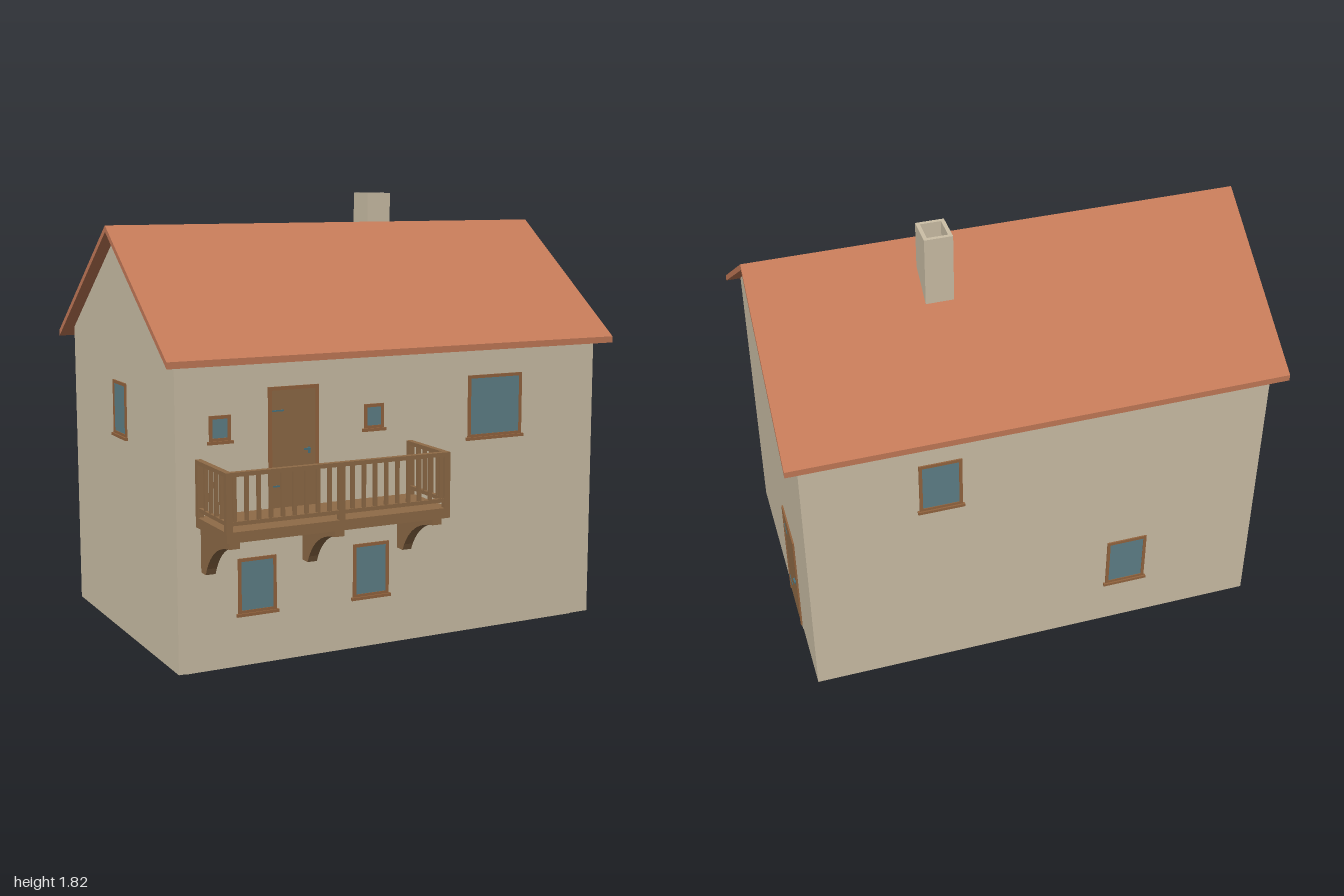
import * as THREE from 'three';

const mat = (name, color) => {
  const m = new THREE.MeshStandardMaterial({ color });
  m.name = name;
  return m;
};

export function createModel() {
  const plaster = mat('plaster', 0xcdc0a7);
  const tile = mat('roofTile', 0xc47a58);
  const wood = mat('wood', 0x8f6b47);
  const trim = mat('trimWood', 0x94653f);
  const glass = mat('glass', 0x5f8189);
  const metal = mat('metal', 0x4a7480);

  const house = new THREE.Group();
  house.name = 'house';

  const add = (parent, name, geometry, material) => {
    const mesh = new THREE.Mesh(geometry, material);
    mesh.name = name;
    parent.add(mesh);
    return mesh;
  };
  const group = (name, parent = house) => {
    const g = new THREE.Group();
    g.name = name;
    parent.add(g);
    return g;
  };
  // Box given by its extents on each axis
  const box = (parent, name, material, x0, x1, y0, y1, z0, z1) => {
    const mesh = add(parent, name, new THREE.BoxGeometry(x1 - x0, y1 - y0, z1 - z0), material);
    mesh.position.set((x0 + x1) / 2, (y0 + y1) / 2, (z0 + z1) / 2);
    return mesh;
  };
  const polygon = (points) => new THREE.Shape(points.map(([a, b]) => new THREE.Vector2(a, b)));
  // Side profile drawn as (z, y), extruded along x from x0 to x1
  const sideExtrude = (parent, name, material, shape, x0, x1) => {
    const geo = new THREE.ExtrudeGeometry(shape, { depth: x1 - x0, bevelEnabled: false, curveSegments: 10 });
    geo.rotateY(-Math.PI / 2).scale(1, 1, 1); // (z, y, d) -> (-d, y, z)
    geo.translate(x1, 0, 0);
    return add(parent, name, geo, material);
  };
  // Rectangular ring, w by h with bars of width t, extruded by depth
  const ring = (w, h, tx, ty, depth) => {
    const rect = (a, b) => [[-a, -b], [a, -b], [a, b], [-a, b]];
    const shape = polygon(rect(w / 2, h / 2));
    shape.holes.push(polygon(rect(w / 2 - tx, h / 2 - ty).reverse()));
    return new THREE.ExtrudeGeometry(shape, { depth, bevelEnabled: false });
  };

  // Main dimensions
  const X0 = -0.95, X1 = 0.945, ZF = 0.49, ZB = -0.73;
  const ridgeZ = -0.12, ridgeY = 1.7, slope = 0.709, roofT = 0.026;
  const roofY = (z) => ridgeY - slope * Math.abs(z - ridgeZ);

  // Walls with gables, standing on a recessed plinth
  sideExtrude(house, 'walls', plaster, polygon([
    [ZB, 0.02], [ZF, 0.02], [ZF, roofY(ZF) - roofT],
    [ridgeZ, ridgeY - roofT], [ZB, roofY(ZB) - roofT],
  ]), X0, X1);
  box(house, 'plinth', plaster, -0.9, 0.895, 0, 0.02, -0.68, 0.44);
  box(house, 'doorStep', plaster, 0.895, 0.945, 0, 0.02, -0.4, -0.155);

  // Pitched roof
  const zf = 0.55, zb = -0.79;
  sideExtrude(house, 'roof', tile, polygon([
    [zb, roofY(zb) - roofT], [ridgeZ, ridgeY - roofT], [zf, roofY(zf) - roofT],
    [zf, roofY(zf)], [ridgeZ, ridgeY], [zb, roofY(zb)],
  ]), -1, 1);

  // Hollow chimney
  const flue = ring(0.112, 0.13, 0.015, 0.015, 0.322);
  flue.rotateX(-Math.PI / 2);
  add(house, 'chimney', flue, plaster).position.set(0.29, 1.5, -0.283);

  // Place an opening on a wall; u is the coordinate along that wall
  const walls = {
    front: (g, u, y) => { g.position.set(u, y, ZF); },
    back: (g, u, y) => { g.position.set(u, y, ZB); g.rotation.y = Math.PI; },
    left: (g, u, y) => { g.position.set(X1, y, u); g.rotation.y = Math.PI / 2; },
    right: (g, u, y) => { g.position.set(X0, y, u); g.rotation.y = -Math.PI / 2; },
  };

  // Windows: frame, pane and sill; y is the bottom of the frame
  const windowUnit = (wall, u, y, w, h) => {
    const g = group('window');
    walls[wall](g, u, y);
    add(g, 'windowFrame', ring(w, h, 0.013, 0.013, 0.006), trim).position.y = h / 2;
    box(g, 'windowPane', glass, -w / 2 + 0.012, w / 2 - 0.012, 0.012, h - 0.012, 0, 0.003);
    box(g, 'windowSill', trim, -w / 2 - 0.008, w / 2 + 0.008, -0.01, 0.002, 0, 0.012);
  };
  windowUnit('front', 0.452, 0.833, 0.26, 0.258);
  for (const x of [-0.771, -0.114]) windowUnit('front', x, 0.907, 0.088, 0.099);
  for (const x of [-0.623, -0.126]) windowUnit('front', x, 0.226, 0.161, 0.219);
  windowUnit('back', 0.404, 0.85, 0.172, 0.227);
  windowUnit('back', -0.388, 0.231, 0.172, 0.23);
  windowUnit('right', -0.126, 0.85, 0.155, 0.222);

  // Doors: frame, leaf, hinges and handle
  const door = (name, wall, u, y, w, h, strap, handleX, handleY) => {
    const g = group(name);
    walls[wall](g, u, y);
    const t = 0.014, e = w / 2;
    box(g, 'doorJamb', trim, -e, -e + t, 0, h, 0, 0.007);
    box(g, 'doorJamb', trim, e - t, e, 0, h, 0, 0.007);
    box(g, 'doorLintel', trim, -e + t, e - t, h - t, h, 0, 0.007);
    box(g, 'doorLeaf', wood, -e + t, e - t, 0, h - t, 0, 0.004);
    for (const hy of [0.085, h - 0.093])
      box(g, 'doorHinge', metal, -e + t, -e + t + strap, hy - 0.003, hy + 0.003, 0.003, 0.006);
    box(g, 'handlePlate', metal, handleX, handleX + 0.009, handleY - 0.018, handleY + 0.008, 0.003, 0.006);
    box(g, 'handleLever', metal, handleX - 0.018, handleX + 0.008, handleY - 0.003, handleY + 0.004, 0.006, 0.013);
  };
  door('entranceDoor', 'left', -0.277, 0.02, 0.244, 0.48, 0.065, 0.08, 0.225);
  door('balconyDoor', 'front', -0.465, 0.628, 0.214, 0.472, 0.05, 0.06, 0.222);

  // Balcony
  const balcony = group('balcony');
  const bx0 = -0.872, bx1 = 0.06, bz = 0.79, mid = (bx0 + bx1) / 2, p = 0.024;
  box(balcony, 'balconyFloor', wood, bx0, bx1, 0.588, 0.628, ZF, bz);

  // Railing posts at the corners, along the wall and in the middle
  const post = (x, z) => box(balcony, 'railingPost', wood, x, x + p, 0.628, 0.83, z, z + p);
  for (const x of [bx0, bx1 - p]) {
    post(x, ZF);
    post(x, bz - p);
  }
  post(mid - p / 2, bz - p);

  // Top and bottom rails
  for (const [y0, y1, inset] of [[0.83, 0.846, 0], [0.65, 0.665, 0.004]]) {
    box(balcony, 'frontRail', wood, bx0 + inset, bx1 - inset, y0, y1, bz - p + inset, bz - inset);
    for (const x of [bx0, bx1 - p])
      box(balcony, 'sideRail', wood, x + inset, x + p - inset, y0, y1, ZF, bz - p + inset);
  }

  // Balusters
  const baluster = (x, z) =>
    box(balcony, 'baluster', wood, x - 0.007, x + 0.007, 0.665, 0.83, z - 0.006, z + 0.006);
  const step = (mid - bx0 - p / 2) / 9.5;
  for (let i = 1; i <= 9; i++) {
    for (const s of [-1, 1]) baluster(mid + s * i * step, bz - p / 2);
  }
  for (let i = 1; i <= 4; i++) {
    for (const x of [bx0 + p / 2, bx1 - p / 2]) baluster(x, 0.515 + i * 0.0505);
  }

  // Curved brackets beneath the floor
  const bracket = new THREE.Shape();
  bracket.moveTo(ZF, 0.41);
  bracket.lineTo(0.535, 0.41);
  bracket.bezierCurveTo(0.575, 0.5, 0.66, 0.55, 0.77, 0.56);
  bracket.lineTo(0.77, 0.588);
  bracket.lineTo(ZF, 0.588);
  for (const x of [-0.833, -0.408, 0.015])
    sideExtrude(balcony, 'balconyBracket', wood, bracket, x - 0.02, x + 0.02);

  return house;
}
